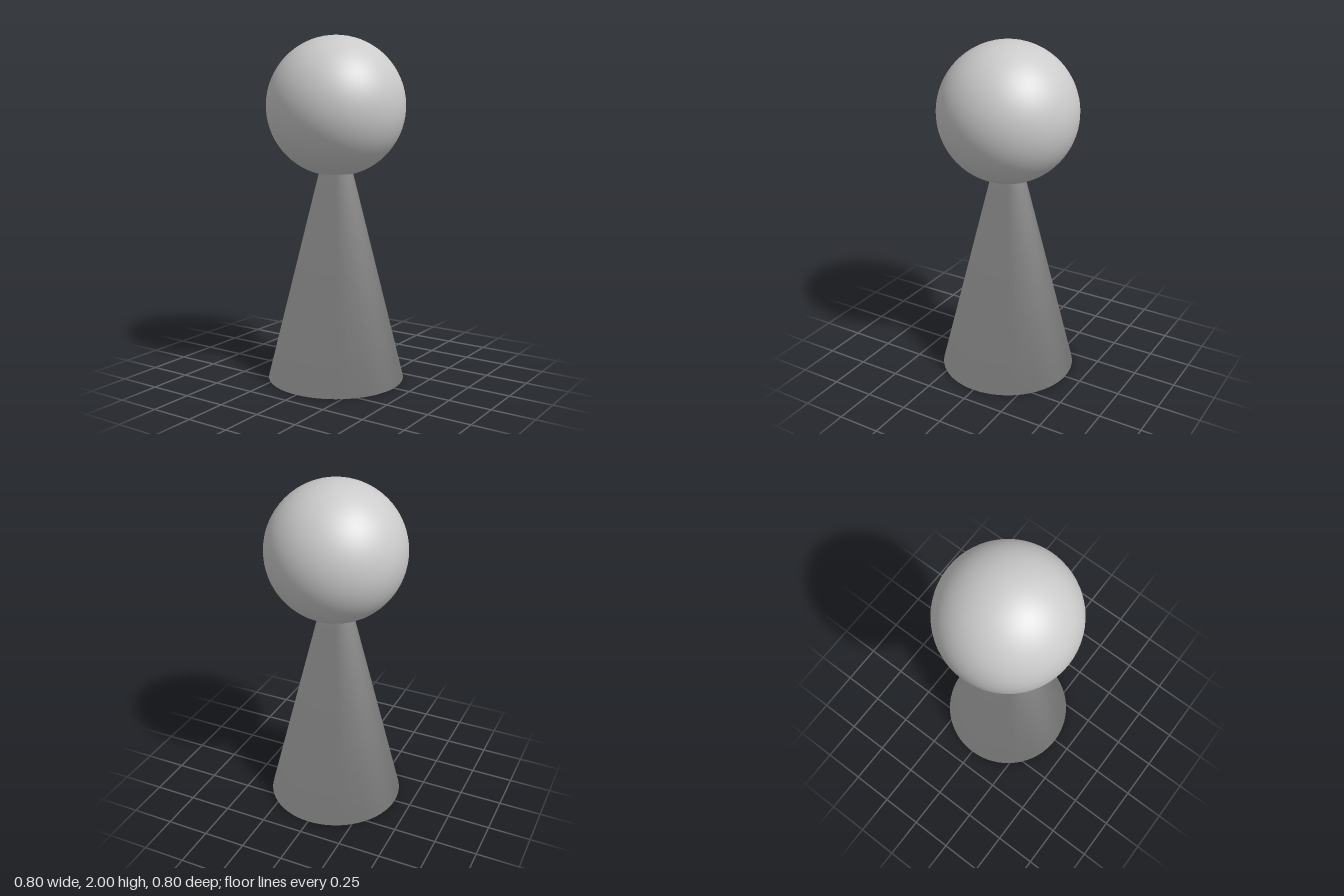
import * as THREE from 'three';

const SEGMENTS = 64;
const BALL_RADIUS = 0.4, BALL_Y = 1.6, BASE_RADIUS = 0.4, NECK_RADIUS = 0.1;

// Revolve a profile; every edge is shaded smooth with equal weight for both sides
function smoothLathe(points) {
  const geometry = new THREE.LatheGeometry(points, SEGMENTS);
  const edge = points.slice(1).map((p, i) => {
    const d = p.clone().sub(points[i]).normalize();
    return new THREE.Vector2(d.y, -d.x);
  });
  const last = points.length - 1;
  const profileNormals = points.map((p, i) => {
    if (i === 0) return new THREE.Vector2(0, -1);
    if (i === last) return new THREE.Vector2(0, 1);
    return edge[i - 1].clone().add(edge[i]).normalize();
  });
  const normal = geometry.attributes.normal;
  for (let s = 0; s <= SEGMENTS; s++) {
    const phi = (s / SEGMENTS) * Math.PI * 2;
    profileNormals.forEach((n, j) => {
      normal.setXYZ(s * points.length + j, n.x * Math.sin(phi), n.y, n.x * Math.cos(phi));
    });
  }
  return geometry;
}

export function createModel() {
  const group = new THREE.Group();
  group.name = 'pawn';

  // Flat base and straight tapering body
  const profile = [new THREE.Vector2(0, 0), new THREE.Vector2(BASE_RADIUS, 0)];

  // Ball head, starting where the neck meets it
  const start = Math.asin(NECK_RADIUS / BALL_RADIUS);
  const steps = 32;
  for (let i = 0; i <= steps; i++) {
    const a = start + (Math.PI - start) * (i / steps);
    const r = i === steps ? 0 : BALL_RADIUS * Math.sin(a);
    profile.push(new THREE.Vector2(r, BALL_Y - BALL_RADIUS * Math.cos(a)));
  }

  const material = new THREE.MeshStandardMaterial({ color: 0xcccccc, side: THREE.DoubleSide });
  const body = new THREE.Mesh(smoothLathe(profile), material);
  body.name = 'bodyAndHead';
  group.add(body);
  return group;
}
